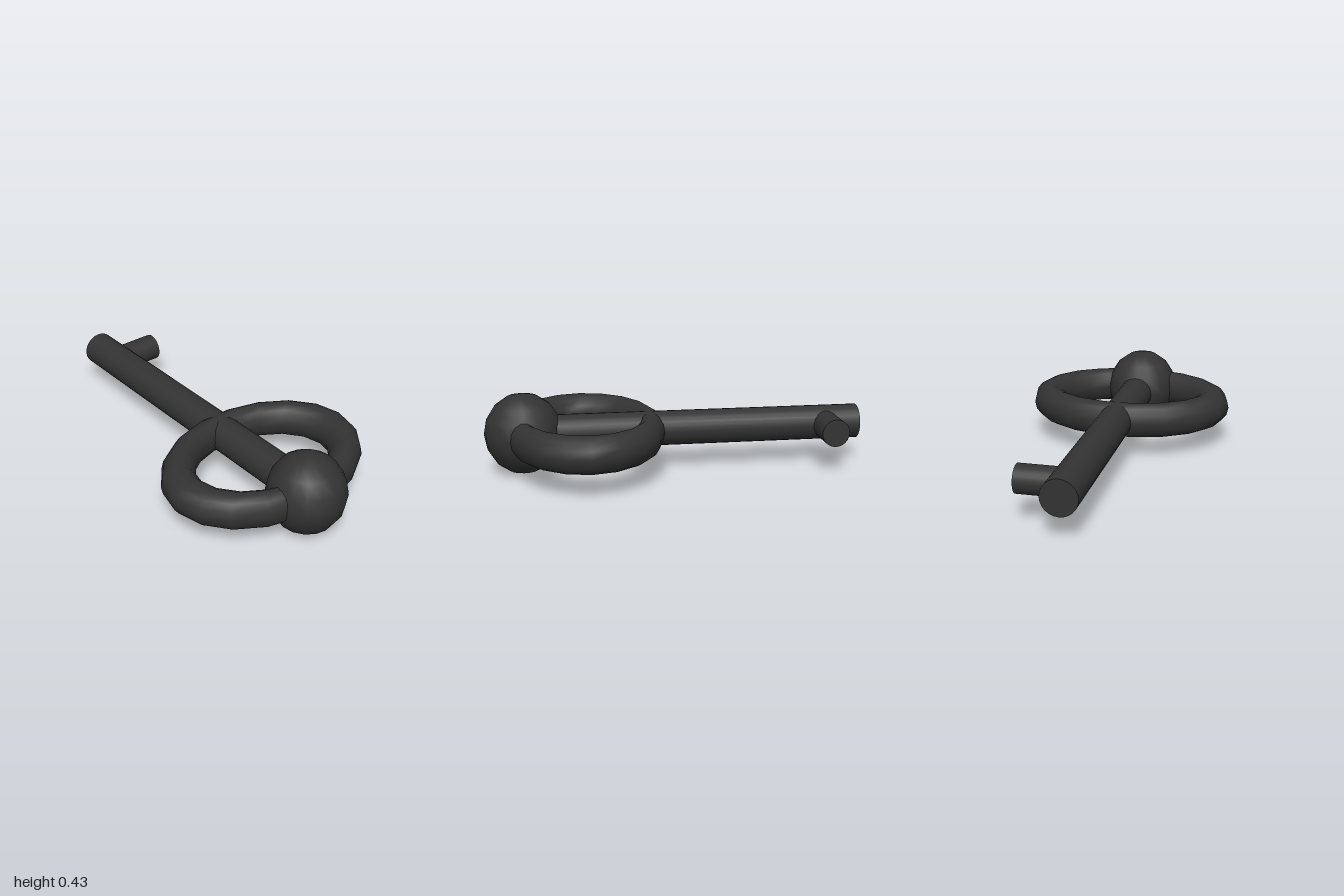
import * as THREE from 'three';

export function createModel() {
  const key = new THREE.Group();
  key.name = 'key';
  const iron = new THREE.MeshStandardMaterial({ color: 0x333333 });
  const axisY = 0.217;

  const add = (name, geometry, x, y, z) => {
    const mesh = new THREE.Mesh(geometry, iron);
    mesh.name = name;
    mesh.position.set(x, y, z);
    key.add(mesh);
    return mesh;
  };

  // Shaft: round bar running along x into the ball
  const shaftStart = -1, shaftEnd = 0.7;
  add('shaft',
    new THREE.CylinderGeometry(0.092, 0.092, shaftEnd - shaftStart, 24).rotateZ(Math.PI / 2),
    (shaftStart + shaftEnd) / 2, axisY, -0.004);

  // Tooth: short peg pointing to the back near the tip
  add('tooth',
    new THREE.CylinderGeometry(0.073, 0.073, 0.26, 24).rotateX(Math.PI / 2),
    -0.815, axisY, -0.13);

  // Bow: flat-lying ring, narrowed along x, with corners at its front and back
  add('bowRing',
    new THREE.TorusGeometry(0.47, 0.095, 14, 18)
      .rotateZ(Math.PI / 2)
      .rotateX(Math.PI / 2)
      .scale(0.738, 1, 1),
    0.475, axisY, -0.002);

  // Ball at the end of the bow
  add('ball',
    new THREE.SphereGeometry(1, 16, 8).scale(0.203, 0.213, 0.2),
    0.797, axisY, 0);

  return key;
}
